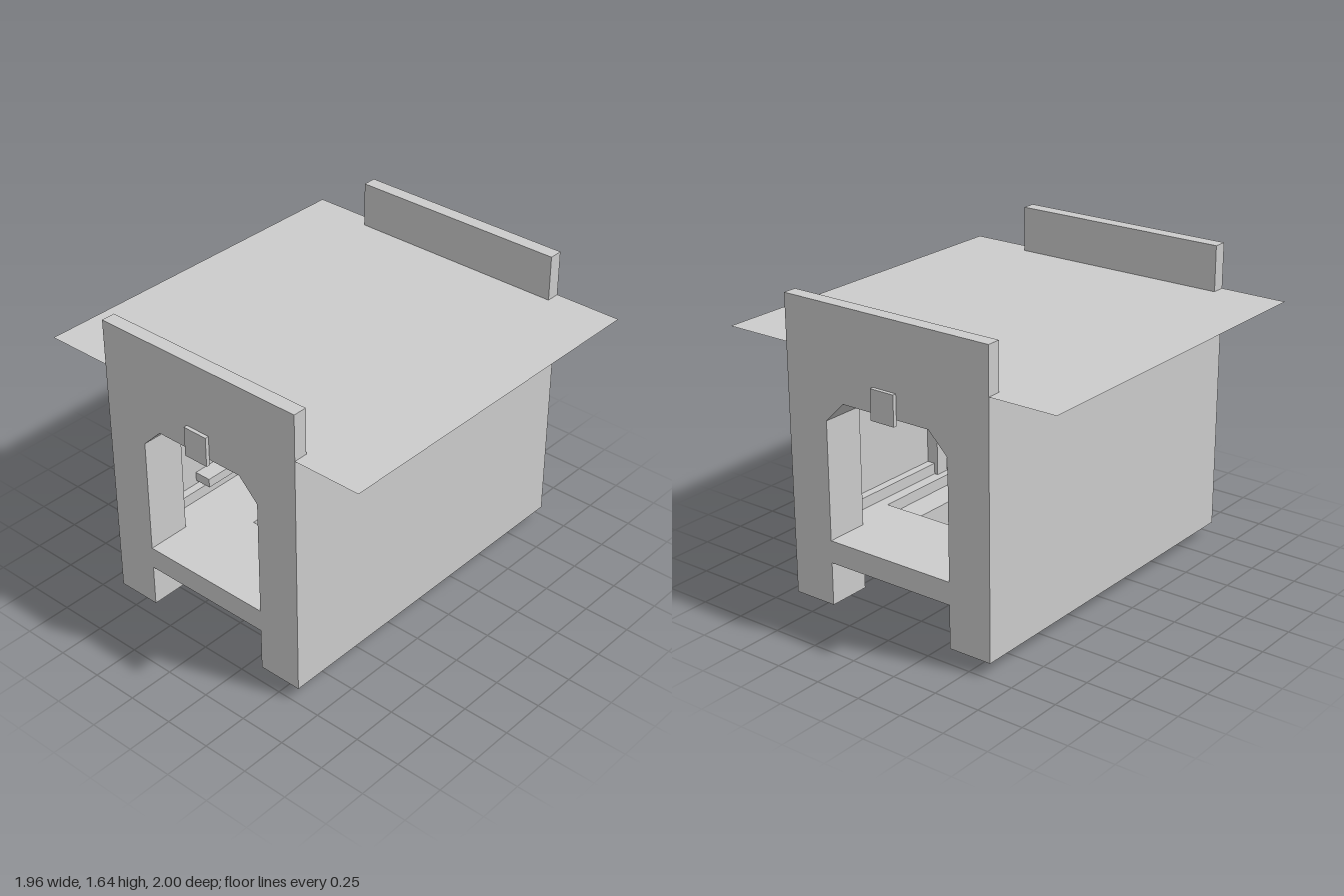
import * as THREE from 'three';

const plaster = new THREE.MeshStandardMaterial({ color: 0xcccccc });
plaster.name = 'plain grey';
const sheet = plaster;

export function createModel() {
  const model = new THREE.Group();
  model.name = 'shed';

  const add = (name, geometry, material = plaster) => {
    const mesh = new THREE.Mesh(geometry, material);
    mesh.name = name;
    model.add(mesh);
    return mesh;
  };
  // Box given by its limits on each axis
  const box = (name, x0, x1, y0, y1, z0, z1) => {
    const g = new THREE.BoxGeometry(x1 - x0, y1 - y0, z1 - z0);
    g.translate((x0 + x1) / 2, (y0 + y1) / 2, (z0 + z1) / 2);
    return add(name, g);
  };
  const points = (list) => list.map(([x, y]) => new THREE.Vector2(x, y));
  const rect = (x0, x1, y0, y1) => points([[x0, y0], [x1, y0], [x1, y1], [x0, y1]]);
  // Horizontal slab with one rectangular hole
  const holedSlab = (name, outer, inner, y0, y1) => {
    const shape = new THREE.Shape(rect(...outer));
    shape.holes.push(new THREE.Path(rect(...inner)));
    const g = new THREE.ExtrudeGeometry(shape, { depth: y1 - y0, bevelEnabled: false });
    g.rotateX(-Math.PI / 2);
    g.translate(0, y0, 0);
    return add(name, g);
  };

  // End portals: two piers, floor beam and a chamfered archway
  const portal = new THREE.Shape(points([
    [-0.61, 0.07], [-0.37, 0.07], [-0.37, 0.3], [0.37, 0.3], [0.37, 0.07],
    [0.61, 0.07], [0.61, 1.4], [-0.61, 1.4],
  ]));
  portal.holes.push(new THREE.Path(points([
    [-0.37, 0.42], [0.37, 0.42], [0.37, 1.05], [0.26, 1.16], [-0.26, 1.16], [-0.37, 1.05],
  ])));
  for (const [end, s] of [['front', 1], ['back', -1]]) {
    const g = new THREE.ExtrudeGeometry(portal, { depth: 0.235, bevelEnabled: false });
    g.translate(0, 0, s > 0 ? 0.745 : -0.98);
    add(end + 'Portal', g);
    const span = (a, b) => (s > 0 ? [a, b] : [-b, -a]);
    box(end + 'Parapet', -0.61, 0.61, 1.4, 1.645, ...span(0.905, 0.98));
    box(end + 'Keystone', -0.07, 0.07, 1.13, 1.29, ...span(0.98, 1.0));
  }

  // Side walls with a central pilaster and a low skirting
  for (const [side, s] of [['left', 1], ['right', -1]]) {
    const span = (a, b) => (s > 0 ? [a, b] : [-b, -a]);
    box(side + 'Wall', ...span(0.535, 0.61), 0.07, 1.4, -0.745, 0.745);
    box(side + 'Pilaster', ...span(0.47, 0.535), 0.42, 1.4, -0.04, 0.04);
    box(side + 'Skirting', ...span(0.49, 0.535), 0.42, 0.48, -0.745, 0.745);
  }

  // Roof: a single thin overhanging sheet, closed by facing both ways
  const roof = new THREE.PlaneGeometry(1.96, 1.96);
  roof.rotateX(-Math.PI / 2);
  roof.translate(0, 1.4, 0);
  add('roof', roof);
  const ceiling = new THREE.PlaneGeometry(1.96, 1.96);
  ceiling.rotateX(Math.PI / 2);
  ceiling.translate(0, 1.399, 0);
  add('roofUnderside', ceiling, sheet);

  // Floor with the sunken pit
  const opening = [-0.14, 0.43, -0.49, 0.49];
  holedSlab('floor', [-0.535, 0.535, -0.745, 0.745], opening, 0.3, 0.42);
  holedSlab('pitWalls', [-0.2, 0.49, -0.55, 0.55], opening, 0.13, 0.3);
  box('pitBase', -0.2, 0.49, 0, 0.13, -0.49, 0.49);
  box('pitLedge', 0.29, 0.43, 0.13, 0.36, -0.49, 0.49);

  // Standing lever by the back doorway
  box('leverRod', -0.336, -0.324, 0.42, 0.72, -0.786, -0.774);
  box('leverHead', -0.357, -0.303, 0.72, 0.77, -0.807, -0.753);

  // Fittings on the right wall
  box('upperShelf', -0.535, -0.44, 0.71, 0.75, 0.25, 0.5);
  box('lowerShelf', -0.535, -0.44, 0.5, 0.55, 0.25, 0.5);
  box('wallBox', -0.535, -0.5, 1.18, 1.26, -0.31, -0.11);

  return model;
}
